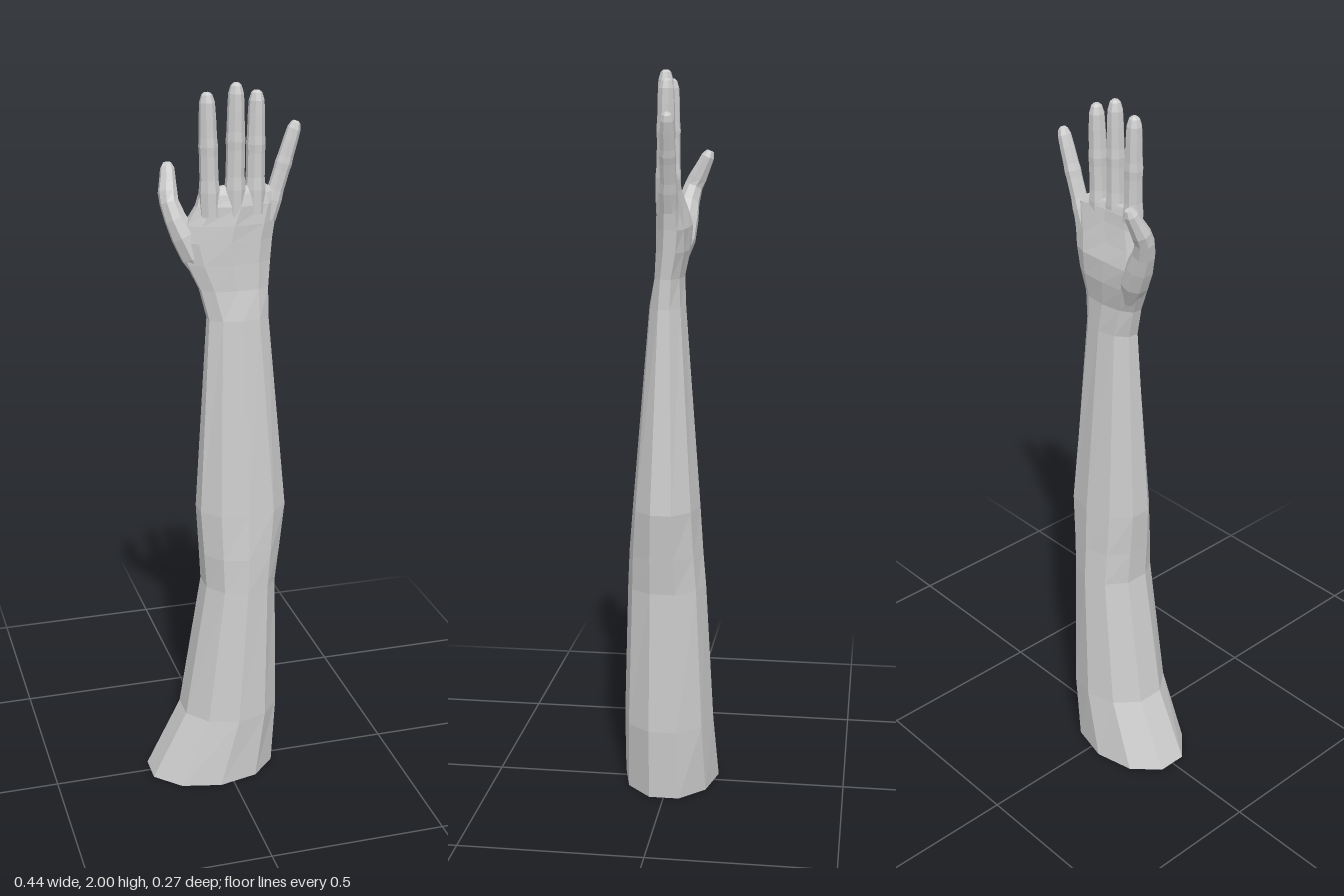
import * as THREE from 'three';

const material = new THREE.MeshStandardMaterial({ color: 0xcccccc, flatShading: true, side: THREE.DoubleSide });

// Skin a list of equal-sized rings; capTip closes the last ring with a fan.
function loft(name, rings, capTip) {
  const n = rings[0].length, pos = [], idx = [];
  rings.forEach(r => r.forEach(p => pos.push(p.x, p.y, p.z)));
  for (let i = 0; i < rings.length - 1; i++) {
    for (let j = 0; j < n; j++) {
      const k = (j + 1) % n, a = i * n, b = a + n;
      idx.push(a + j, b + j, a + k, a + k, b + j, b + k);
    }
  }
  if (capTip) {
    const last = rings[rings.length - 1], base = (rings.length - 1) * n;
    const c = last.reduce((s, p) => s.add(p), new THREE.Vector3()).divideScalar(n);
    pos.push(c.x, c.y, c.z);
    for (let j = 0; j < n; j++) idx.push(base + j, base + n, base + (j + 1) % n);
  }
  const g = new THREE.BufferGeometry();
  g.setAttribute('position', new THREE.Float32BufferAttribute(pos, 3));
  g.setIndex(idx);
  g.computeVertexNormals();
  const mesh = new THREE.Mesh(g, material);
  mesh.name = name;
  return mesh;
}

// Horizontal ten-sided section; p < 1 squares it off, arch bends its sides backward.
function section([y, x0, x1, z0, z1, p = 1, arch = 0]) {
  const cx = (x0 + x1) / 2, cz = (z0 + z1) / 2, c0 = Math.cos(Math.PI / 10) ** p;
  return Array.from({ length: 10 }, (_, j) => {
    const a = (j + 0.5) / 10 * Math.PI * 2;
    const c = Math.cos(a), s = Math.sin(a);
    const x = cx + Math.sign(c) * Math.abs(c) ** p / c0 * (x1 - x0) / 2;
    const z = cz + Math.sign(s) * Math.abs(s) ** p * (z1 - z0) / 2;
    return new THREE.Vector3(x, y, z - arch * (x - 0.03) ** 2);
  });
}

// Eight-sided digit along a path of [x, y, z, radius].
function digit(name, path) {
  const pts = path.map(p => new THREE.Vector3(p[0], p[1], p[2]));
  const rings = path.map((p, i) => {
    const t = pts[Math.min(i + 1, pts.length - 1)].clone().sub(pts[Math.max(i - 1, 0)]).normalize();
    const u = t.clone().cross(new THREE.Vector3(0, 0, 1)).normalize();
    const v = u.clone().cross(t);
    return Array.from({ length: 8 }, (_, j) => {
      const a = (j + 0.5) / 8 * Math.PI * 2;
      return pts[i].clone().addScaledVector(u, Math.cos(a) * p[3]).addScaledVector(v, Math.sin(a) * p[3]);
    });
  });
  return loft(name, rings, true);
}

// Straight finger with slightly swollen joints and a rounded tip.
function finger(name, base, tip, r) {
  const profile = [[0, 1.1], [0.2, 1.12], [0.3, 1], [0.5, 0.98], [0.57, 1.03], [0.64, 0.95],
    [0.8, 0.9], [0.92, 0.82], [0.98, 0.58], [1, 0.3]];
  return digit(name, profile.map(([t, k]) => [...base.map((b, i) => b + (tip[i] - b) * t), r * k]));
}

export function createModel() {
  const model = new THREE.Group();
  model.name = 'arm';

  // Upper arm, elbow and forearm, open at the shoulder end
  const wrist = [1.46, -0.06, 0.125, -0.045, 0.036, 0.9];
  const arm = [
    [0, -0.22, 0.14, -0.138, 0.135],
    [0.2, -0.12, 0.152, -0.127, 0.128],
    [0.6, -0.056, 0.146, -0.108, 0.112],
    [0.7, -0.062, 0.158, -0.1, 0.107],
    [0.83, -0.07, 0.174, -0.092, 0.096],
    [1.38, -0.04, 0.125, -0.05, 0.05],
    wrist
  ];
  model.add(loft('armAndForearm', arm.map(section), false));

  // Palm, flattening and arching toward the knuckles
  const palm = [
    wrist,
    [1.53, -0.093, 0.132, -0.056, 0.034, 0.85, 0.4],
    [1.59, -0.108, 0.138, -0.054, 0.034, 0.8, 0.8],
    [1.635, -0.095, 0.145, -0.038, 0.034, 0.75, 1.2],
    [1.685, -0.068, 0.155, -0.025, 0.032, 0.75, 1.5],
    [1.715, -0.06, 0.152, -0.02, 0.024, 0.75, 1.5],
    [1.735, -0.05, 0.118, -0.012, 0.014, 0.75, 1.5]
  ];
  model.add(loft('palm', palm.map(section), true));

  // Fingers
  const fingers = new THREE.Group();
  fingers.name = 'fingers';
  fingers.add(
    finger('indexFinger', [-0.034, 1.66, 0.002], [-0.041, 1.978, 0], 0.025),
    finger('middleFinger', [0.032, 1.66, 0.006], [0.035, 2, 0.006], 0.025),
    finger('ringFinger', [0.088, 1.66, 0], [0.093, 1.978, -0.004], 0.025),
    finger('littleFinger', [0.126, 1.64, -0.014], [0.206, 1.892, -0.02], 0.022)
  );
  model.add(fingers);

  // Thumb, with its fleshy base sunk into the palm
  model.add(digit('thumb', [
    [-0.045, 1.49, -0.018, 0.022], [-0.07, 1.55, -0.024, 0.038], [-0.096, 1.605, -0.03, 0.037],
    [-0.118, 1.65, -0.037, 0.03], [-0.131, 1.69, -0.048, 0.026], [-0.132, 1.715, -0.06, 0.026],
    [-0.128, 1.745, -0.075, 0.022], [-0.125, 1.772, -0.088, 0.019], [-0.124, 1.786, -0.094, 0.011]
  ]));
  return model;
}
